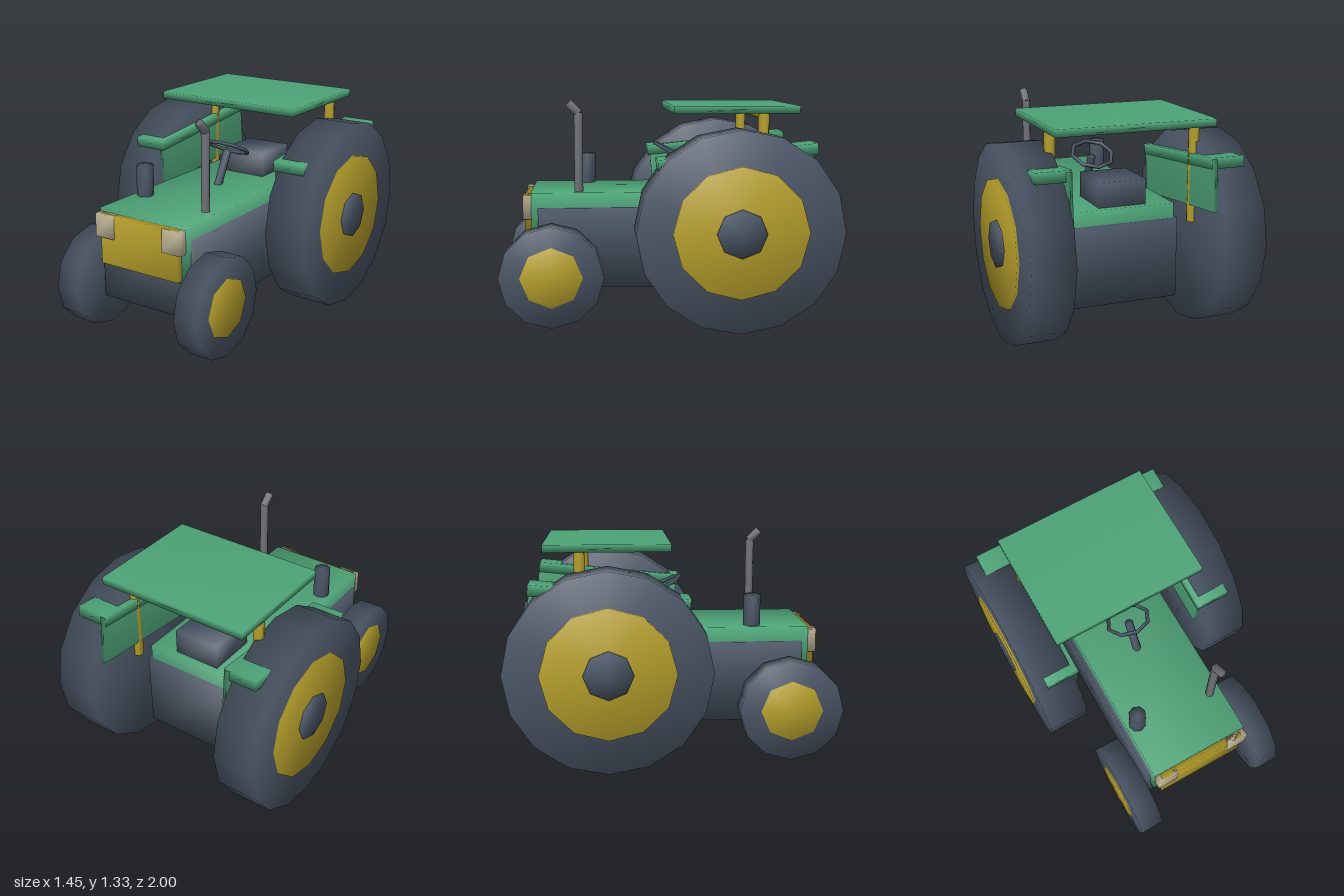
import * as THREE from 'three';
import { mergeVertices } from 'three/addons/utils/BufferGeometryUtils.js';

const mat = (color) => new THREE.MeshStandardMaterial({ color });
const GREEN = mat(0x4da377), YELLOW = mat(0xb59e2b), DARK = mat(0x4a5565);
const STEEL = mat(0x6f7278), CREAM = mat(0xbfb496);

// Share vertices so normals blend softly across the low-poly edges
function soften(geo) {
  geo.deleteAttribute('uv');
  geo.deleteAttribute('normal');
  const out = mergeVertices(geo, 1e-4);
  out.computeVertexNormals();
  return out;
}

function part(parent, name, geo, material) {
  const mesh = new THREE.Mesh(soften(geo), material);
  mesh.name = name;
  parent.add(mesh);
  return mesh;
}

// Box given by its min and max corners
function box(parent, name, material, [x0, y0, z0], [x1, y1, z1]) {
  const mesh = part(parent, name, new THREE.BoxGeometry(x1 - x0, y1 - y0, z1 - z0), material);
  mesh.position.set((x0 + x1) / 2, (y0 + y1) / 2, (z0 + z1) / 2);
  return mesh;
}

// Round rod between two points
function rod(parent, name, material, from, to, radius, sides = 8) {
  const a = new THREE.Vector3(...from), b = new THREE.Vector3(...to);
  const dir = b.clone().sub(a);
  const mesh = part(parent, name, new THREE.CylinderGeometry(radius, radius, dir.length(), sides), material);
  mesh.position.copy(a).add(b).multiplyScalar(0.5);
  mesh.quaternion.setFromUnitVectors(new THREE.Vector3(0, 1, 0), dir.normalize());
  return mesh;
}

// Wheel made of stacked discs: [name, material, inner x, outer x, radius, sides]
function wheel(parent, name, side, y, z, discs) {
  const group = new THREE.Group();
  group.name = name;
  for (const [label, material, x0, x1, radius, sides] of discs) {
    const geo = new THREE.CylinderGeometry(radius, radius, x1 - x0, sides);
    geo.rotateZ(Math.PI / 2);
    part(group, label, geo, material).position.x = side * (x0 + x1) / 2;
  }
  group.position.set(0, y, z);
  group.scale.y = 0.975;
  parent.add(group);
}

export function createModel() {
  const tractor = new THREE.Group();
  tractor.name = 'tractor';

  // Chassis, hood and front end
  box(tractor, 'chassis', DARK, [-0.33, 0.205, -0.6], [0.33, 0.69, 0.77]);
  box(tractor, 'hood', GREEN, [-0.31, 0.435, -0.59], [0.31, 0.78, 0.81]);
  box(tractor, 'grille', YELLOW, [-0.275, 0.455, 0.78], [0.275, 0.76, 0.85]);

  // Seat
  box(tractor, 'seat', DARK, [-0.147, 0.74, -0.55], [0.147, 0.93, -0.24]);

  // Air cleaner and exhaust
  rod(tractor, 'airCleaner', DARK, [-0.24, 0.74, 0.475], [-0.24, 0.97, 0.475], 0.052);
  rod(tractor, 'exhaustPipe', STEEL, [0.24, 0.74, 0.525], [0.24, 1.255, 0.525], 0.026);
  rod(tractor, 'exhaustTip', STEEL, [0.24, 1.25, 0.522], [0.24, 1.312, 0.585], 0.026);

  // Steering wheel leaning back towards the seat
  const steering = new THREE.Group();
  steering.name = 'steering';
  const ring = new THREE.TorusGeometry(0.13, 0.012, 6, 8);
  ring.rotateX(-Math.PI / 2);
  part(steering, 'steeringWheel', ring, DARK);
  rod(steering, 'steeringColumn', DARK, [0, -0.28, 0], [0, -0.02, 0], 0.026);
  steering.position.set(0, 0.992, -0.065);
  steering.rotation.x = -0.48;
  tractor.add(steering);

  // Roof and its frame
  box(tractor, 'roof', GREEN, [-0.48, 1.255, -0.77], [0.48, 1.3, -0.03]);
  rod(tractor, 'roofBeam', YELLOW, [-0.46, 1.25, -0.56], [0.46, 1.25, -0.56], 0.031);

  for (const side of [1, -1]) {
    const label = side > 0 ? 'left' : 'right';

    const lamp = box(tractor, label + 'Headlight', CREAM, [0.175, 0.62, 0.79], [0.305, 0.76, 0.86]);
    lamp.position.x *= side;

    rod(tractor, label + 'RoofPost', YELLOW, [side * 0.445, 0.65, -0.56], [side * 0.445, 1.26, -0.56], 0.033);

    // Fender: inner panel and top plate, raised slightly at the rear
    const fender = new THREE.Group();
    fender.name = label + 'Fender';
    const panel = box(fender, 'fenderPanel', GREEN, [0.418, -0.31, -0.465], [0.45, -0.01, 0.45]);
    const plate = box(fender, 'fenderPlate', GREEN, [0.415, -0.065, -0.462], [0.62, 0, 0.462]);
    panel.position.x *= side;
    plate.position.x *= side;
    fender.position.set(0, 1.047, -0.385);
    fender.rotation.x = 0.1;
    tractor.add(fender);

    wheel(tractor, label + 'RearWheel', side, 0.587, -0.4, [
      ['tyre', DARK, 0.445, 0.7, 0.602, 16],
      ['rim', YELLOW, 0.6, 0.712, 0.393, 12],
      ['hub', DARK, 0.62, 0.726, 0.145, 8],
    ]);
    wheel(tractor, label + 'FrontWheel', side, 0.302, 0.69, [
      ['tyre', DARK, 0.352, 0.5, 0.31, 12],
      ['rim', YELLOW, 0.44, 0.506, 0.185, 8],
    ]);
  }
  return tractor;
}
